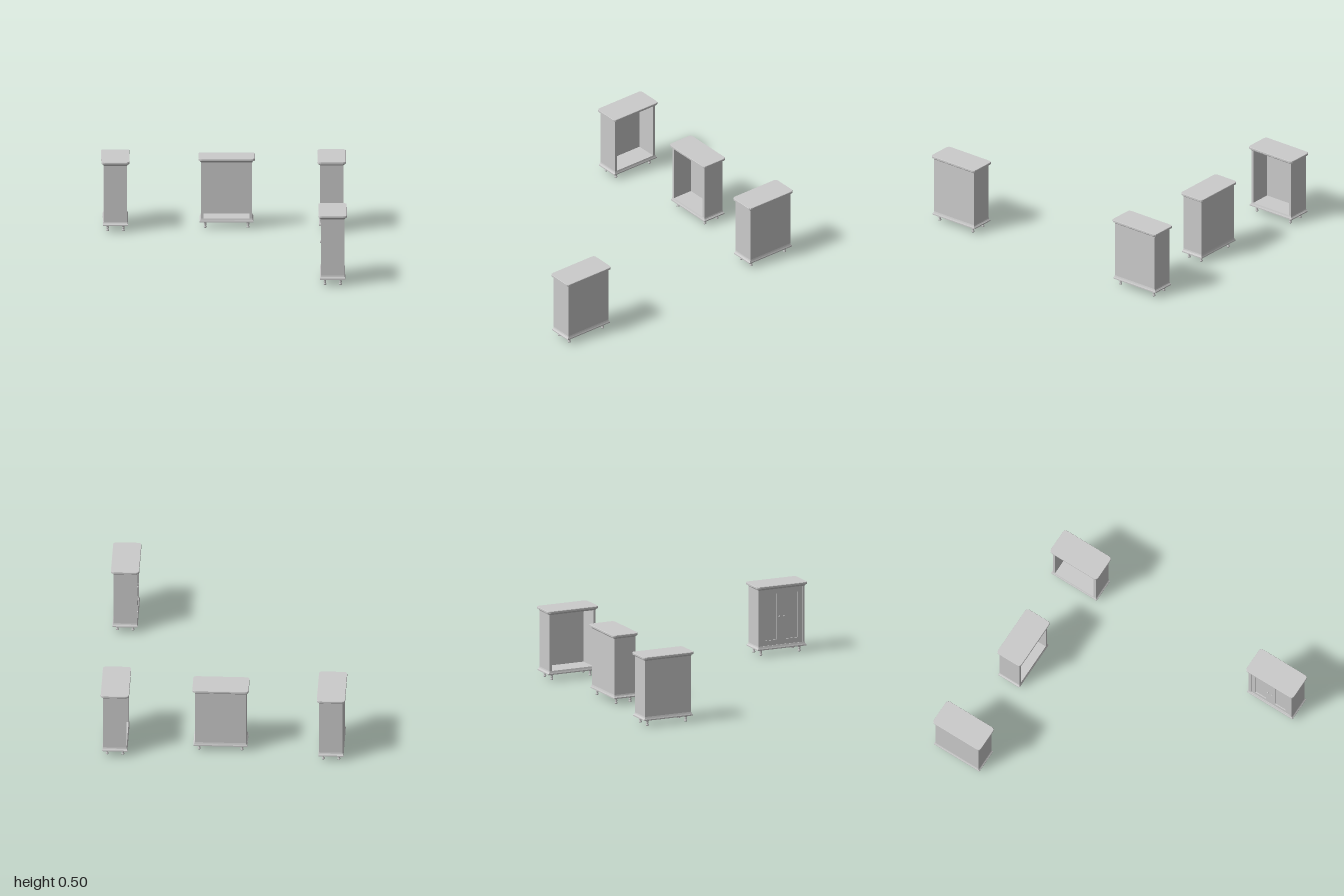
import * as THREE from 'three';

const material = new THREE.MeshStandardMaterial({ color: 0xcccccc, flatShading: true });
const smooth = new THREE.MeshStandardMaterial({ color: 0xcccccc });

function add(parent, name, geometry, x = 0, y = 0, z = 0, mat = material) {
  const mesh = new THREE.Mesh(geometry, mat);
  mesh.name = name;
  mesh.position.set(x, y, z);
  parent.add(mesh);
  return mesh;
}

// Box given by its limits along each axis
function panel(parent, name, [x0, x1], [y0, y1], [z0, z1]) {
  return add(parent, name, new THREE.BoxGeometry(x1 - x0, y1 - y0, z1 - z0),
    (x0 + x1) / 2, (y0 + y1) / 2, (z0 + z1) / 2);
}

// Solid moulding: stacked rectangles [halfWidth, halfDepth, y, cornerRadius]
function moulding(profile, segments) {
  const rings = profile.map(([w, d, y, r = 0]) => {
    const ring = [];
    [[1, 1], [-1, 1], [-1, -1], [1, -1]].forEach(([sx, sz], c) => {
      for (let i = 0; i <= segments; i++) {
        const a = (c + (segments ? i / segments : 0.5)) * Math.PI / 2;
        const k = segments ? r : 0;
        ring.push([sx * (w - k) + k * Math.cos(a), y, -sz * (d - k) - k * Math.sin(a)]);
      }
    });
    return ring;
  });
  const n = rings[0].length, out = [];
  const tri = (...points) => points.forEach(p => out.push(...p));
  const bottom = rings[0], top = rings[rings.length - 1];
  for (let k = 0; k < n; k++) {
    const m = (k + 1) % n;
    for (let i = 0; i + 1 < rings.length; i++) {
      const a = rings[i], b = rings[i + 1];
      tri(a[k], a[m], b[m]);
      tri(a[k], b[m], b[k]);
    }
    tri([0, bottom[0][1], 0], bottom[m], bottom[k]);
    tri([0, top[0][1], 0], top[k], top[m]);
  }
  const geometry = new THREE.BufferGeometry();
  geometry.setAttribute('position', new THREE.Float32BufferAttribute(out, 3));
  geometry.computeVertexNormals();
  return geometry;
}

const W = 0.177, D = 0.081; // half width and half depth of the carcass
const FLOOR = 0.07, CEILING = 0.468, WALL = 0.018;

const footGeometry = new THREE.LatheGeometry([
  [0, 0], [0.009, 0], [0.011, 0.005], [0.008, 0.012], [0.006, 0.016], [0.01, 0.022],
  [0.007, 0.028], [0.008, 0.033], [0.014, 0.037], [0.014, 0.045], [0, 0.045],
].map(([r, y]) => new THREE.Vector2(r, y)), 16);

const baseGeometry = moulding([
  [0.187, 0.087, 0.043], [0.187, 0.087, 0.051], [0.183, 0.085, 0.055],
  [0.179, 0.083, 0.061], [W, D, FLOOR],
], 0);

const topGeometry = moulding([
  [W, D, CEILING, 0.002], [0.179, 0.083, 0.472, 0.004], [0.184, 0.088, 0.477, 0.01],
  [0.19, 0.093, 0.479, 0.016], [0.195, 0.098, 0.482, 0.022],
  [0.195, 0.098, 0.494, 0.022], [0.193, 0.096, 0.497, 0.02],
], 3);

// Door leaf with a raised frame, a recessed panel and a knob beside the middle
function makeDoor(side) {
  const door = new THREE.Group();
  door.name = side < 0 ? 'rightDoor' : 'leftDoor';
  const w = W - WALL, h = CEILING - FLOOR, edge = 0.036;
  const rect = (Path, x0, y0, x1, y1) => new Path([[x0, y0], [x1, y0], [x1, y1], [x0, y1]]
    .map(([x, y]) => new THREE.Vector2(x, y)));
  const frame = rect(THREE.Shape, 0.001, 0, w, h);
  frame.holes.push(rect(THREE.Path, edge, edge, w - edge, h - edge));
  const x0 = side < 0 ? -w : 0;
  add(door, 'doorFrame', new THREE.ExtrudeGeometry(frame, { depth: 0.014, bevelEnabled: false }),
    x0, FLOOR, D - 0.018);
  panel(door, 'doorPanel', [x0 + edge - 0.004, x0 + w - edge + 0.004],
    [FLOOR + edge - 0.004, CEILING - edge + 0.004], [D - 0.016, D - 0.011]);
  add(door, 'doorKnob', new THREE.SphereGeometry(0.006, 12, 8), side * 0.018, 0.27, D + 0.001, smooth);
  return door;
}

function makeCabinet(name, x, z, turn, hasDoors) {
  const cabinet = new THREE.Group();
  cabinet.name = name;
  // Carcass
  for (const side of [-1, 1]) {
    panel(cabinet, side < 0 ? 'rightWall' : 'leftWall',
      side < 0 ? [-W, WALL - W] : [W - WALL, W], [FLOOR, CEILING], [-D, D]);
  }
  panel(cabinet, 'backPanel', [WALL - W, W - WALL], [FLOOR, CEILING], [-D, 0.012 - D]);
  add(cabinet, 'baseMoulding', baseGeometry);
  add(cabinet, 'topBoard', topGeometry);
  // Turned feet
  for (const sx of [-1, 1]) for (const sz of [-1, 1]) {
    add(cabinet, 'foot', footGeometry, sx * 0.148, 0, sz * 0.054, smooth);
  }
  if (hasDoors) cabinet.add(makeDoor(-1), makeDoor(1));
  cabinet.position.set(x, 0, z);
  cabinet.rotation.y = turn;
  return cabinet;
}

export function createModel() {
  const model = new THREE.Group();
  model.name = 'cabinetSet';
  const q = Math.PI / 2;
  model.add(
    makeCabinet('openCabinetRight', -0.747, -0.805, q, false),
    makeCabinet('openCabinetMiddle', 0.021, -0.807, 0, false),
    makeCabinet('openCabinetLeft', 0.747, -0.805, -q, false),
    makeCabinet('doorCabinet', 0.747, 0.805, -q, true),
  );
  return model;
}
